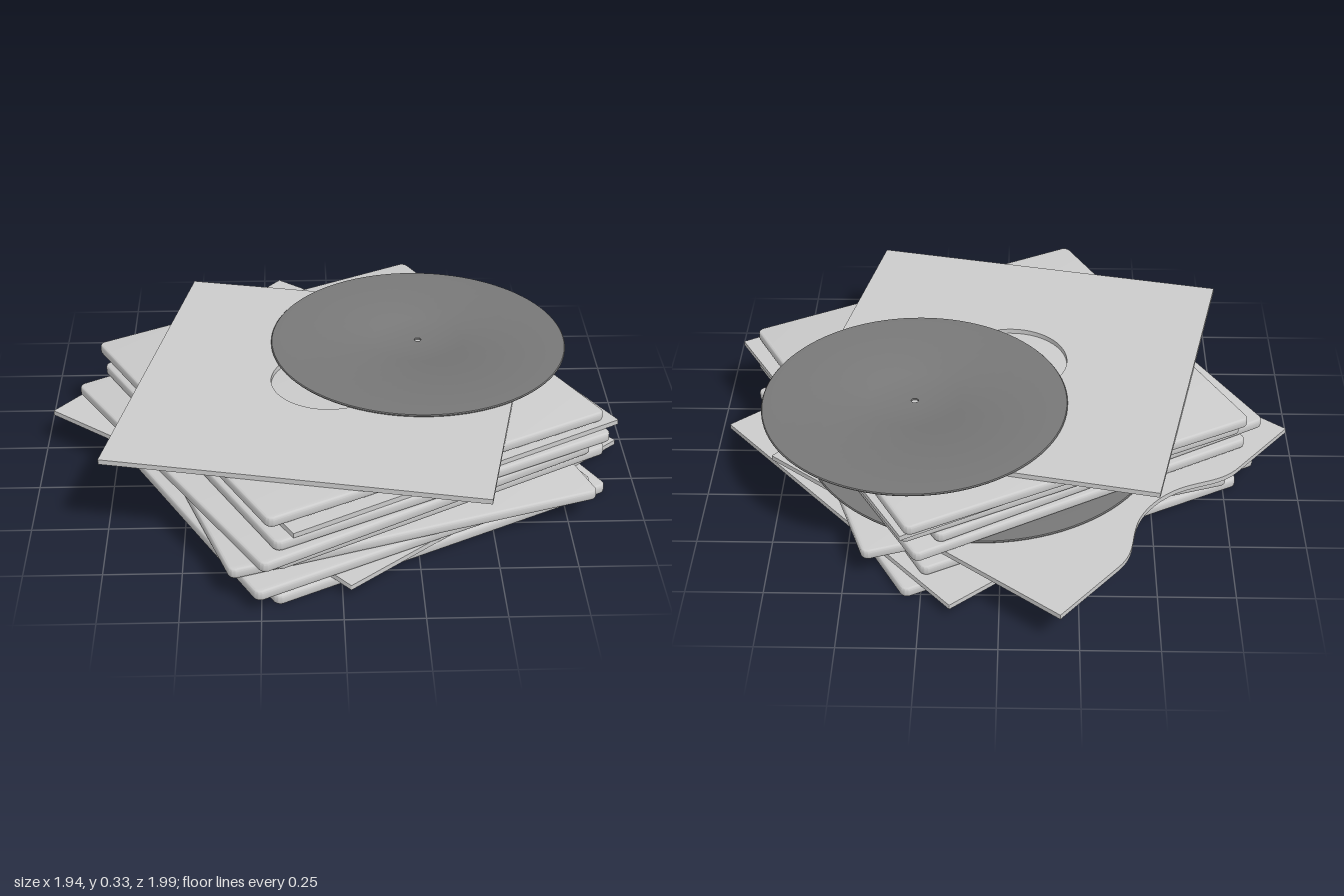
import * as THREE from 'three';
import { toCreasedNormals } from 'three/addons/utils/BufferGeometryUtils.js';

const HALF = 0.622;
const THICK = 0.034, THIN = 0.017, DISC = 0.008;

const paper = new THREE.MeshStandardMaterial({ color: 0xcccccc });
const vinyl = new THREE.MeshStandardMaterial({ color: 0x787878 });

// Extrudes a flat outline upwards so that it rests on y = 0
function slab(shape, height, bevel = 0) {
  const geo = new THREE.ExtrudeGeometry(shape, {
    depth: height - 2 * bevel, bevelEnabled: bevel > 0, bevelSize: bevel,
    bevelThickness: bevel, bevelOffset: -bevel, bevelSegments: 3, curveSegments: 24,
  });
  geo.rotateX(-Math.PI / 2);
  geo.translate(0, bevel, 0);
  return toCreasedNormals(geo, 0.6);
}

function square(h, r) {
  const s = new THREE.Shape();
  s.moveTo(-h + r, -h);
  s.lineTo(h - r, -h);
  s.absarc(h - r, -h + r, r, -Math.PI / 2, 0);
  s.lineTo(h, h - r);
  s.absarc(h - r, h - r, r, 0, Math.PI / 2);
  s.lineTo(-h + r, h);
  s.absarc(-h + r, h - r, r, Math.PI / 2, Math.PI);
  s.lineTo(-h, -h + r);
  s.absarc(-h + r, -h + r, r, Math.PI, Math.PI * 1.5);
  return s;
}

// Thick album cover with softened edges and corners
const coverGeo = slab(square(HALF + 0.006, 0.025), THICK, 0.008);

// Plain thin inner sleeve
const sleeveGeo = slab(square(HALF, 0.002), THIN);

// Thin sleeve with a round window in the middle
const windowShape = square(HALF - 0.002, 0.002);
windowShape.holes.push(new THREE.Path().absarc(0, 0, 0.194, 0, Math.PI * 2, true));
const windowGeo = slab(windowShape, THIN);

// Thin sleeve with a curved thumb notch in one edge
const notch = new THREE.Shape();
notch.moveTo(-HALF, -HALF);
notch.lineTo(HALF, -HALF);
notch.lineTo(HALF, HALF);
notch.lineTo(-HALF, HALF);
notch.lineTo(-HALF, 0.33);
notch.bezierCurveTo(-HALF, 0.2, -HALF + 0.105, 0.17, -HALF + 0.105, 0);
notch.bezierCurveTo(-HALF + 0.105, -0.17, -HALF, -0.2, -HALF, -0.33);
const notchGeo = slab(notch, THIN);

// Record with a spindle hole and a slightly sunken label
function recordGeo(r) {
  const profile = [
    [0.012, 0], [r - 0.003, 0], [r, 0.003], [r, DISC - 0.003], [r - 0.003, DISC],
    [0.157, DISC], [0.154, DISC - 0.0015], [0.012, DISC - 0.0015], [0.012, 0],
  ].map(([x, y]) => new THREE.Vector2(x, y));
  return toCreasedNormals(new THREE.LatheGeometry(profile, 96), 0.5);
}
const bigRecord = recordGeo(0.61);
const smallRecord = recordGeo(0.51);

export function createModel() {
  const group = new THREE.Group();
  group.name = 'recordStack';

  // Bottom to top: name, geometry, height, x, z, turn in degrees
  const layers = [
    ['cover', coverGeo, THICK, 0.05, 0.078, 61.5],
    ['innerSleeve', sleeveGeo, THIN, 0.09, 0.02, 49.2],
    ['cover', coverGeo, THICK, -0.01, 0.125, 61.5],
    ['cover', coverGeo, THICK, 0.045, 0.108, 71],
    ['notchedSleeve', notchGeo, THIN, -0.097, -0.117, 39],
    ['record', bigRecord, DISC, 0.07, -0.05, 0],
    ['cover', coverGeo, THICK, 0.033, 0.088, 60],
    ['cover', coverGeo, THICK, -0.025, 0.145, 59.2],
    ['cover', coverGeo, THICK, 0.05, 0.093, 61.5],
    ['innerSleeve', sleeveGeo, THIN, 0.078, 0.068, 60],
    ['record', bigRecord, DISC, 0.09, 0.052, 0],
    ['cover', coverGeo, THICK, 0.03, 0.055, 61.7],
    ['windowSleeve', windowGeo, THIN, -0.023, 0.106, 12],
    ['record', smallRecord, DISC, 0.293, -0.15, 0],
  ];

  let y = 0;
  layers.forEach(([name, geo, height, x, z, turn], i) => {
    const mesh = new THREE.Mesh(geo, name === 'record' ? vinyl : paper);
    mesh.name = name + (i + 1);
    mesh.position.set(x, y, z);
    mesh.rotation.y = -THREE.MathUtils.degToRad(turn);
    group.add(mesh);
    y += height;
  });
  return group;
}
